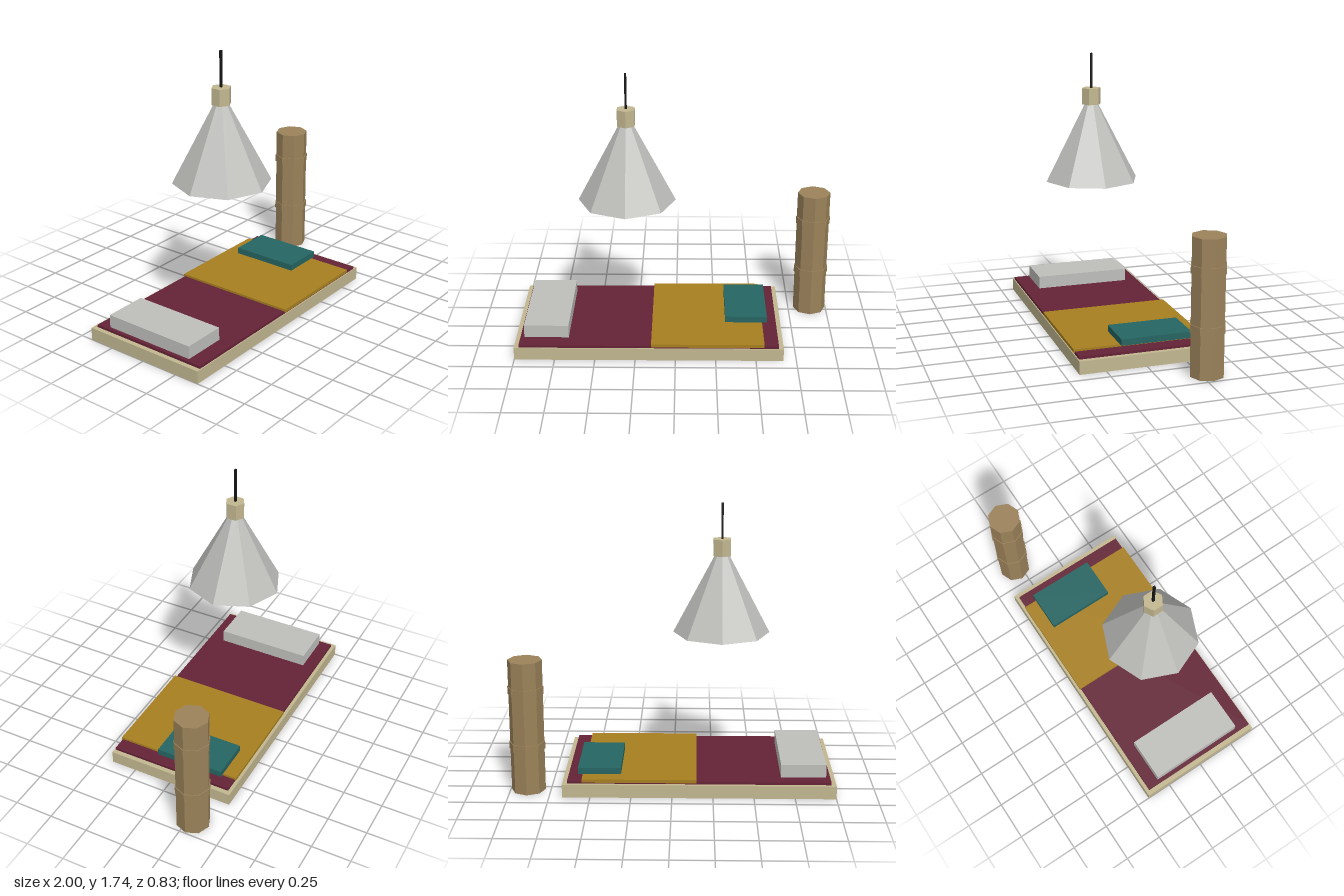
import * as THREE from 'three';

const mat = (name, color) => {
  const m = new THREE.MeshStandardMaterial({ color, flatShading: true });
  m.name = name;
  return m;
};

export function createModel() {
  const model = new THREE.Group();
  const paleWood = mat('pale wood', 0xc2b790);
  const maroon = mat('maroon cloth', 0x642236);
  const ochre = mat('ochre cloth', 0xa77f20);
  const teal = mat('teal cloth', 0x256562);
  const grey = mat('light grey', 0xbebebb);
  const brown = mat('brown wood', 0x9b825a);
  const black = mat('black cord', 0x151515);

  const add = (parent, name, geometry, material, x, y, z) => {
    const mesh = new THREE.Mesh(geometry, material);
    mesh.name = name;
    mesh.position.set(x, y, z);
    parent.add(mesh);
    return mesh;
  };
  // Box given by its extents on each axis
  const box = (parent, name, material, [x0, x1], [y0, y1], [z0, z1]) =>
    add(parent, name, new THREE.BoxGeometry(x1 - x0, y1 - y0, z1 - z0), material,
      (x0 + x1) / 2, (y0 + y1) / 2, (z0 + z1) / 2);
  // Upright prism or cone between two heights
  const prism = (parent, name, material, rTop, rBottom, y0, y1, sides) =>
    add(parent, name, new THREE.CylinderGeometry(rTop, rBottom, y1 - y0, sides), material,
      0, (y0 + y1) / 2, 0);

  // Low bed with layered bedding
  const bed = new THREE.Group();
  bed.name = 'bed';
  box(bed, 'bedBase', paleWood, [-1, 0.67], [0, 0.082], [-0.415, 0.415]);
  box(bed, 'mattress', maroon, [-0.97, 0.64], [0.082, 0.098], [-0.392, 0.408]);
  box(bed, 'blanket', ochre, [-0.15, 0.55], [0.091, 0.112], [-0.4, 0.415]);
  box(bed, 'pillow', grey, [-0.945, -0.667], [0.098, 0.18], [-0.31, 0.307]);
  box(bed, 'foldedCloth', teal, [0.315, 0.58], [0.112, 0.152], [-0.312, 0.131]);
  model.add(bed);

  // Hanging lamp
  const lamp = new THREE.Group();
  lamp.name = 'lamp';
  lamp.position.set(-0.3, 0, 0.043);
  prism(lamp, 'lampShade', grey, 0.045, 0.3, 0.926, 1.412, 8);
  prism(lamp, 'lampCollar', paleWood, 0.061, 0.061, 1.412, 1.515, 6);
  box(lamp, 'lampCord', black, [-0.0065, 0.0065], [1.515, 1.735], [-0.0065, 0.0065]);
  model.add(lamp);

  // Standing post with two bands
  const post = new THREE.Group();
  post.name = 'post';
  post.position.set(0.889, 0, -0.285);
  prism(post, 'postBody', brown, 0.105, 0.105, 0, 0.836, 8);
  for (const y of [0.293, 0.645]) {
    prism(post, 'postBand', brown, 0.11, 0.11, y - 0.024, y + 0.024, 8);
  }
  model.add(post);

  return model;
}
